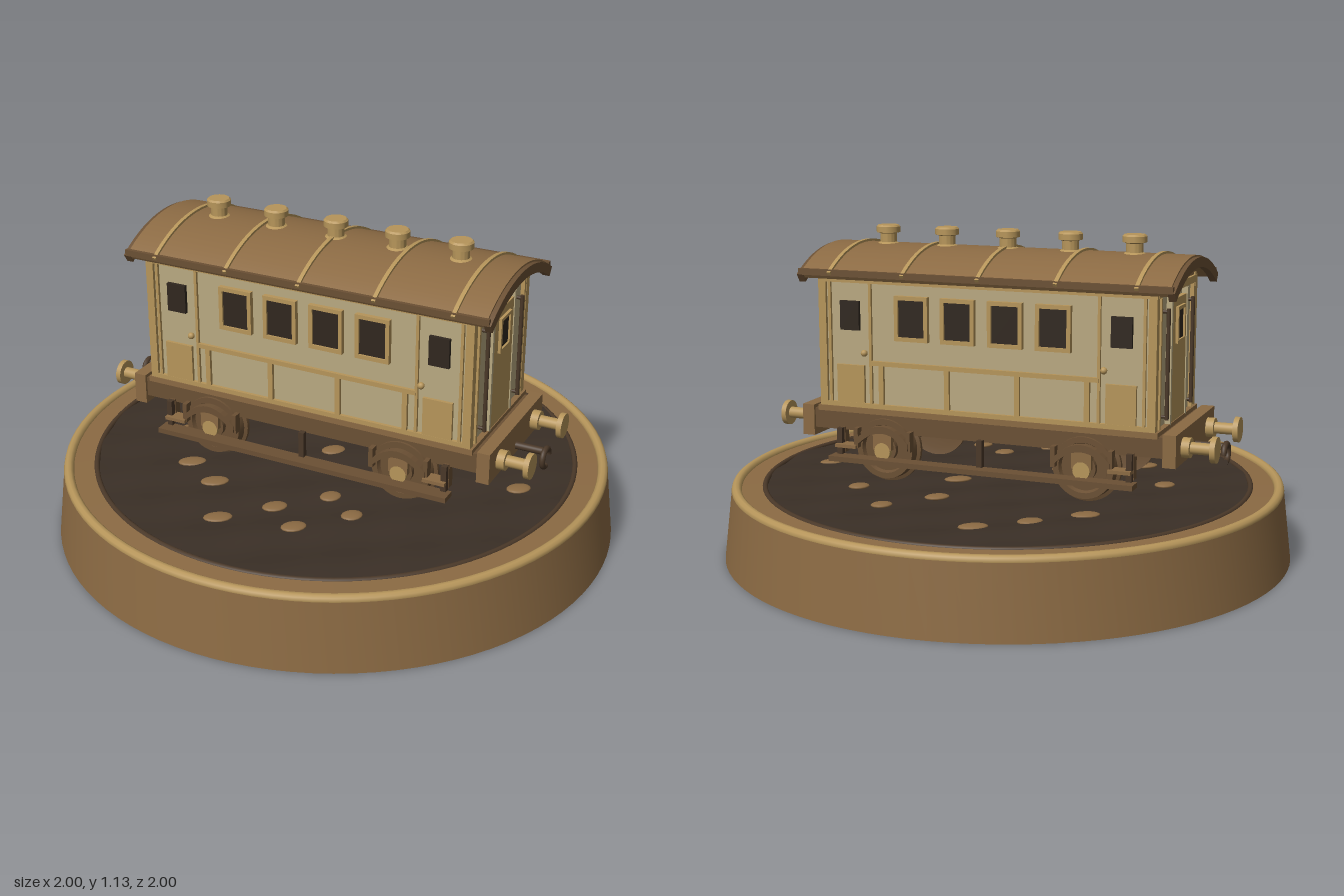
import * as THREE from 'three';
import { toCreasedNormals } from 'three/addons/utils/BufferGeometryUtils.js';

const mat = (color, side = THREE.FrontSide) => {
  const m = new THREE.MeshStandardMaterial({ side });
  m.color.set(color);
  return m;
};
const BROWN = mat(0x8b6a43), DARKBROWN = mat(0x6b5034), GOLD = mat(0xb6955a), CREAM = mat(0xb9a981);
const DARK = mat(0x30271f), IRON = mat(0x4a3828), SOIL = mat(0x3a2f26, THREE.DoubleSide);

export function createModel() {
  const root = new THREE.Group();
  root.name = 'railwayCarriage';

  const add = (name, geo, m, x = 0, y = 0, z = 0) => {
    const mesh = new THREE.Mesh(geo, m);
    mesh.name = name;
    mesh.position.set(x, y, z);
    root.add(mesh);
    return mesh;
  };
  const box = (name, m, w, h, d, x, y, z) => add(name, new THREE.BoxGeometry(w, h, d), m, x, y, z);
  const cyl = (name, m, r, len, x, y, z, axis = 'y', r2 = r) => {
    const g = new THREE.CylinderGeometry(r, r2, len, 28);
    if (axis === 'x') g.rotateZ(-Math.PI / 2);
    if (axis === 'z') g.rotateX(Math.PI / 2);
    return add(name, g, m, x, y, z);
  };
  const lathe = (pts, seg = 96) => toCreasedNormals(
    new THREE.LatheGeometry(pts.map(p => new THREE.Vector2(...p)), seg), 0.5);

  // Round display base with a rim and a shallow ground
  add('base', lathe([[0, 0], [1, 0], [0.97, 0.245], [0.86, 0.25], [0.86, 0.235], [0, 0.235]]), BROWN);
  const ring = (name, m, r, t, y) =>
    add(name, new THREE.TorusGeometry(r, t, 10, 96).rotateX(Math.PI / 2), m, 0, y, 0);
  ring('rim', GOLD, 0.953, 0.018, 0.245);
  ring('innerRim', IRON, 0.855, 0.01, 0.247);

  const wave = (x, z) => 0.25 + 0.004 * Math.sin(16 * x + 22 * z) + 0.002 * Math.sin(25 * x - 9 * z);
  const soil = new THREE.RingGeometry(0.001, 0.855, 96, 28).rotateX(-Math.PI / 2);
  const sp = soil.attributes.position;
  for (let i = 0; i < sp.count; i++) sp.setY(i, wave(sp.getX(i), sp.getZ(i)));
  soil.computeVertexNormals();
  add('ground', soil, SOIL);

  // Flat stones half sunk in the ground
  const stones = [[-0.13, -0.63], [-0.27, -0.49], [0.26, -0.49], [-0.41, -0.35], [0.12, -0.35], [0.43, -0.32],
    [-0.27, 0.4], [0, 0.46], [0.26, 0.4], [-0.14, 0.6], [0.12, 0.55], [0.14, 0.32], [-0.41, 0.32],
    [0.69, -0.03], [-0.15, 0.15], [0.15, -0.1], [0, 0.02], [-0.55, 0.1]];
  stones.forEach(([x, z], i) => {
    const s = add('stone', new THREE.SphereGeometry(1, 14, 10), BROWN, x, wave(x, z) + 0.002, z);
    s.scale.set(0.05 - 0.006 * (i % 3), 0.009, 0.032);
    s.rotation.y = 0.6 + 0.15 * (i % 3);
  });

  // Underframe
  box('underframe', DARKBROWN, 1.3, 0.07, 0.48, 0, 0.465, 0);
  box('floorSill', BROWN, 1.24, 0.02, 0.5, 0, 0.505, 0);

  // Carriage body
  box('body', CREAM, 1.2, 0.48, 0.47, 0, 0.745, 0);

  // A framed window on the wall plane: sx/sz gives the direction the wall faces
  const panel = (name, m, w, h, t, along, y, off, facing, sign) => facing === 'z'
    ? box(name, m, w, h, t, along, y, sign * off)
    : box(name, m, t, h, w, sign * off, y, along);
  const framed = (along, y, w, h, b, off, facing, sign, m) => {
    panel('windowGlass', DARK, w, h, 0.012, along, y, off, facing, sign);
    for (const s of [-1, 1]) {
      panel('windowFrame', m, b, h + 2 * b, 0.026, along + s * (w + b) / 2, y, off, facing, sign);
      panel('windowFrame', m, w, b, 0.026, along, y + s * (h + b) / 2, off, facing, sign);
    }
  };

  for (const s of [-1, 1]) {
    // Long sides
    const side = (name, m, w, h, t, x, y) => panel(name, m, w, h, t, x, y, 0.238, 'z', s);
    for (const x of [-0.257, -0.086, 0.086, 0.257]) framed(x, 0.838, 0.096, 0.128, 0.014, 0.24, 'z', s, GOLD);
    side('waistRail', GOLD, 0.83, 0.016, 0.018, 0, 0.675);
    side('topRail', GOLD, 1.2, 0.025, 0.02, 0, 0.965);
    side('bottomRail', GOLD, 1.2, 0.016, 0.018, 0, 0.523);
    for (const x of [-0.375, -0.128, 0.128, 0.375]) side('panelRib', GOLD, 0.018, 0.165, 0.018, x, 0.595);
    for (const d of [-1, 1]) {
      side('doorPost', GOLD, 0.01, 0.45, 0.014, d * 0.415, 0.74);
      side('doorPost', GOLD, 0.01, 0.45, 0.014, d * 0.57, 0.74);
      side('doorWindow', DARK, 0.072, 0.102, 0.02, d * 0.492, 0.838);
      side('doorPanel', GOLD, 0.105, 0.135, 0.016, d * 0.492, 0.597);
      add('doorHandle', new THREE.SphereGeometry(0.012, 12, 8), GOLD, d * 0.435, 0.71, s * 0.252);
      box('cornerPost', GOLD, 0.028, 0.48, 0.028, d * 0.597, 0.745, s * 0.233);
    }

    // Ends
    const end = (name, m, w, h, t, z, y) => panel(name, m, w, h, t, z, y, 0.605, 'x', s);
    end('endDoor', GOLD, 0.17, 0.42, 0.024, 0, 0.72);
    framed(0, 0.84, 0.07, 0.1, 0.012, 0.614, 'x', s, GOLD);
    end('endTopRail', GOLD, 0.47, 0.025, 0.018, 0, 0.965);
    for (const d of [-1, 1]) {
      end('endDoorPost', CREAM, 0.014, 0.44, 0.03, d * 0.094, 0.73);
      end('endRib', GOLD, 0.012, 0.44, 0.018, d * 0.2, 0.73);
      cyl('grabRail', IRON, 0.007, 0.37, s * 0.622, 0.725, d * 0.152);
      for (const y of [0.55, 0.9]) cyl('grabRailMount', IRON, 0.006, 0.03, s * 0.61, y, d * 0.152, 'x');

      // Buffers
      cyl('bufferSleeve', GOLD, 0.034, 0.04, s * 0.69, 0.455, d * 0.16, 'x');
      cyl('bufferRod', GOLD, 0.02, 0.12, s * 0.73, 0.455, d * 0.16, 'x');
      cyl('bufferHead', GOLD, 0.044, 0.018, s * 0.789, 0.455, d * 0.16, 'x');
    }
    box('bufferBeam', BROWN, 0.045, 0.11, 0.5, s * 0.66, 0.457, 0);

    // Coupling bar and hook
    cyl('couplingBar', IRON, 0.013, 0.13, s * 0.72, 0.43, 0, 'x');
    const hook = add('couplingHook', new THREE.TorusGeometry(0.032, 0.01, 10, 24, Math.PI * 1.55), IRON,
      s * 0.788, 0.408, 0);
    hook.rotation.set(0, Math.PI / 2, 0);
  }

  // Arched roof: slabs cut from one circle and pushed along x
  const arch = (half, edge, top, thick, length) => {
    const rise = top - edge, R = (half * half + rise * rise) / (2 * rise), a = Math.asin(half / R);
    const sh = new THREE.Shape(), c = top - R, up = Math.PI / 2;
    sh.absarc(0, c, R, up - a, up + a, false);
    if (thick) sh.absarc(0, c, R - thick, up + a, up - a, true);
    sh.closePath();
    const g = new THREE.ExtrudeGeometry(sh, { depth: length, bevelEnabled: false, curveSegments: 28 });
    return toCreasedNormals(g.translate(0, 0, -length / 2).rotateY(Math.PI / 2), 0.5);
  };
  add('roof', arch(0.28, 0.985, 1.068, 0.024, 1.32), BROWN);
  add('roofFill', arch(0.262, 0.975, 1.05, 0, 1.21), BROWN);
  for (const s of [-1, 1]) {
    add('roofEndTrim', arch(0.28, 0.978, 1.062, 0.034, 0.024), DARKBROWN, s * 0.664, 0, 0);
    box('roofEave', DARKBROWN, 1.34, 0.022, 0.014, 0, 0.987, s * 0.273);
  }
  for (const x of [-0.55, -0.275, 0, 0.275, 0.55])
    add('roofRib', arch(0.286, 0.99, 1.076, 0.016, 0.014), GOLD, x, 0, 0);

  // Roof vents
  const vent = lathe([[0, 0], [0.04, 0], [0.04, 0.014], [0.029, 0.02], [0.029, 0.05], [0.042, 0.054],
    [0.042, 0.074], [0.036, 0.08], [0, 0.08]], 28);
  for (const x of [-0.457, -0.229, 0, 0.229, 0.457]) add('roofVent', vent, GOLD, x, 1.052, 0);

  // Wheels, springs and axle boxes
  const wheel = lathe([[0, -0.02], [0.095, -0.02], [0.122, -0.025], [0.122, -0.012], [0.11, -0.008],
    [0.106, 0.025], [0.086, 0.025], [0.08, 0.01], [0.045, 0.01], [0.045, 0.028], [0, 0.028]], 40);
  const spring = new THREE.Shape();
  spring.moveTo(-0.1, 0.395);
  spring.quadraticCurveTo(0, 0.505, 0.1, 0.395);
  spring.lineTo(0.1, 0.42);
  spring.quadraticCurveTo(0, 0.53, -0.1, 0.42);
  spring.closePath();
  const springGeo = new THREE.ExtrudeGeometry(spring, { depth: 0.025, bevelEnabled: false }).translate(0, -0.015, -0.0125);
  for (const x of [-0.365, 0.365]) {
    cyl('axle', IRON, 0.017, 0.52, x, 0.37, 0, 'z');
    for (const s of [-1, 1]) {
      const w = add('wheel', wheel, DARKBROWN, x, 0.375, s * 0.222);
      w.rotation.x = s * Math.PI / 2;
      cyl('axleCap', GOLD, 0.03, 0.02, x, 0.37, s * 0.258, 'z');
      add('leafSpring', springGeo, DARKBROWN, x, 0, s * 0.262);
      box('axleBox', BROWN, 0.07, 0.06, 0.025, x, 0.405, s * 0.255);
      for (const d of [-1, 1]) {
        box('springHanger', DARKBROWN, 0.016, 0.07, 0.03, x + d * 0.1, 0.41, s * 0.255);
      }
      const ox = x + Math.sign(x) * 0.165;
      box('brakeHanger', DARKBROWN, 0.022, 0.09, 0.03, ox, 0.395, s * 0.23);
    }
  }

  // Running boards and their brackets
  for (const s of [-1, 1]) {
    box('runningBoard', DARKBROWN, 1.11, 0.018, 0.055, 0, 0.338, s * 0.28);
    for (const x of [-0.53, 0, 0.53]) box('boardBracket', IRON, 0.02, 0.1, 0.02, x, 0.39, s * 0.258);
    box('boardTread', BROWN, 0.08, 0.012, 0.05, s * 0.5, 0.38, 0.258);
    box('boardTread', BROWN, 0.08, 0.012, 0.05, s * 0.5, 0.38, -0.258);
  }
  return root;
}
